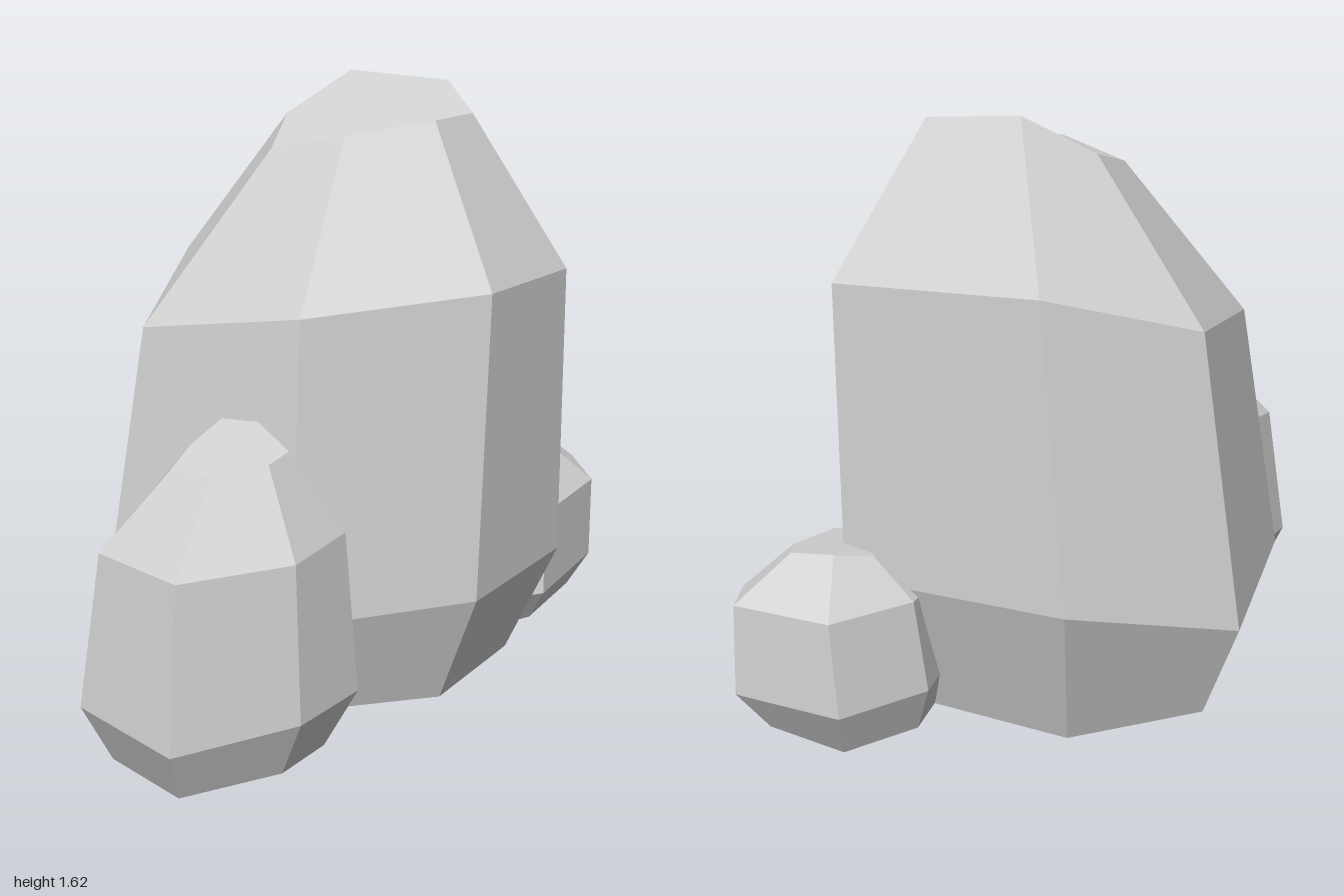
import * as THREE from 'three';

// Builds a faceted boulder from stacked rings, base first.
// Each ring lists [x, y, z] clockwise from the back, as seen from above.
function makeBoulder(name, rings, material) {
  const positions = [];
  const normals = [];

  // One facet, fanned from its first corner and shaded with a single normal
  const facet = (corners) => {
    const [first, ...rest] = corners.map((c) => new THREE.Vector3(...c));
    const normal = new THREE.Vector3();
    for (let i = 0; i < rest.length - 1; i++) {
      const u = rest[i].clone().sub(first);
      normal.add(u.cross(rest[i + 1].clone().sub(first)));
    }
    normal.normalize();
    for (let i = 0; i < rest.length - 1; i++) {
      for (const p of [first, rest[i], rest[i + 1]]) {
        positions.push(p.x, p.y, p.z);
        normals.push(normal.x, normal.y, normal.z);
      }
    }
  };

  // Side facets between neighbouring rings
  const sides = rings[0].length;
  for (let r = 0; r < rings.length - 1; r++) {
    const low = rings[r], high = rings[r + 1];
    for (let i = 0; i < sides; i++) {
      const j = (i + 1) % sides;
      facet([low[i], high[i], high[j], low[j]]);
    }
  }

  // Flat underside, and a slanted top creased from its front corner
  const top = rings[rings.length - 1];
  facet(rings[0]);
  facet([...top.slice(4), ...top.slice(0, 4)].map((c, i, all) => all[(sides - i) % sides]));

  const geometry = new THREE.BufferGeometry();
  geometry.setAttribute('position', new THREE.Float32BufferAttribute(positions, 3));
  geometry.setAttribute('normal', new THREE.Float32BufferAttribute(normals, 3));
  const mesh = new THREE.Mesh(geometry, material);
  mesh.name = name;
  return mesh;
}

export function createModel() {
  const stone = new THREE.MeshStandardMaterial({ color: 0xd3d3d3 });
  stone.name = 'light grey stone';

  // Rings: base, belly, shoulder, top
  const large = [
    [[-0.07, 0, -0.51], [0.32, 0, -0.405], [0.53, 0, 0.10], [0.31, 0, 0.43],
      [-0.08, 0, 0.51], [-0.41, 0, 0.30], [-0.52, 0, -0.15]],
    [[-0.08, 0.28, -0.635], [0.41, 0.40, -0.51], [0.675, 0.38, 0.12], [0.41, 0.30, 0.53],
      [-0.08, 0.31, 0.63], [-0.51, 0.29, 0.37], [-0.65, 0.27, -0.19]],
    [[-0.01, 1.09, -0.55], [0.42, 1.21, -0.425], [0.67, 1.19, 0.14], [0.42, 1.11, 0.52],
      [-0.02, 1.12, 0.61], [-0.47, 1.09, 0.37], [-0.54, 1.00, -0.14]],
    [[0.06, 1.51, -0.20], [0.27, 1.62, -0.15], [0.38, 1.60, 0.12], [0.27, 1.53, 0.30],
      [0.06, 1.53, 0.345], [-0.16, 1.50, 0.23], [-0.19, 1.45, -0.01]],
  ];

  const medium = [
    [[-0.72, 0, 0.05], [-0.61, 0, 0.05], [-0.44, 0, 0.26], [-0.50, 0, 0.48],
      [-0.68, 0, 0.51], [-0.94, 0, 0.42], [-0.92, 0, 0.15]],
    [[-0.735, 0.17, -0.02], [-0.62, 0.19, -0.01], [-0.385, 0.18, 0.25], [-0.455, 0.16, 0.555],
      [-0.68, 0.15, 0.575], [-1.00, 0.14, 0.46], [-0.985, 0.15, 0.11]],
    [[-0.70, 0.58, 0.02], [-0.57, 0.60, 0.04], [-0.39, 0.60, 0.25], [-0.455, 0.57, 0.51],
      [-0.68, 0.56, 0.56], [-0.945, 0.55, 0.43], [-0.935, 0.55, 0.14]],
    [[-0.65, 0.77, 0.165], [-0.56, 0.82, 0.18], [-0.52, 0.82, 0.27], [-0.54, 0.775, 0.40],
      [-0.64, 0.77, 0.43], [-0.775, 0.76, 0.375], [-0.77, 0.74, 0.22]],
  ];

  const small = [
    [[0.60, 0, -0.11], [0.83, 0, -0.11], [0.91, 0, 0.14], [0.83, 0, 0.27],
      [0.53, 0, 0.35], [0.41, 0, 0.32], [0.44, 0, 0.02]],
    [[0.59, 0.12, -0.15], [0.87, 0.125, -0.16], [1.00, 0.115, 0.155], [0.88, 0.10, 0.315],
      [0.51, 0.10, 0.415], [0.41, 0.10, 0.37], [0.42, 0.11, 0.0]],
    [[0.61, 0.37, -0.12], [0.87, 0.375, -0.125], [0.99, 0.365, 0.16], [0.88, 0.345, 0.315],
      [0.52, 0.345, 0.405], [0.47, 0.335, 0.35], [0.46, 0.355, 0.0]],
    [[0.65, 0.47, 0.01], [0.77, 0.50, 0.01], [0.83, 0.485, 0.13], [0.77, 0.47, 0.22],
      [0.61, 0.465, 0.27], [0.57, 0.46, 0.20], [0.58, 0.455, 0.07]],
  ];

  const group = new THREE.Group();
  group.name = 'boulderCluster';
  group.add(
    makeBoulder('largeBoulder', large, stone),
    makeBoulder('mediumBoulder', medium, stone),
    makeBoulder('smallBoulder', small, stone),
  );
  return group;
}
